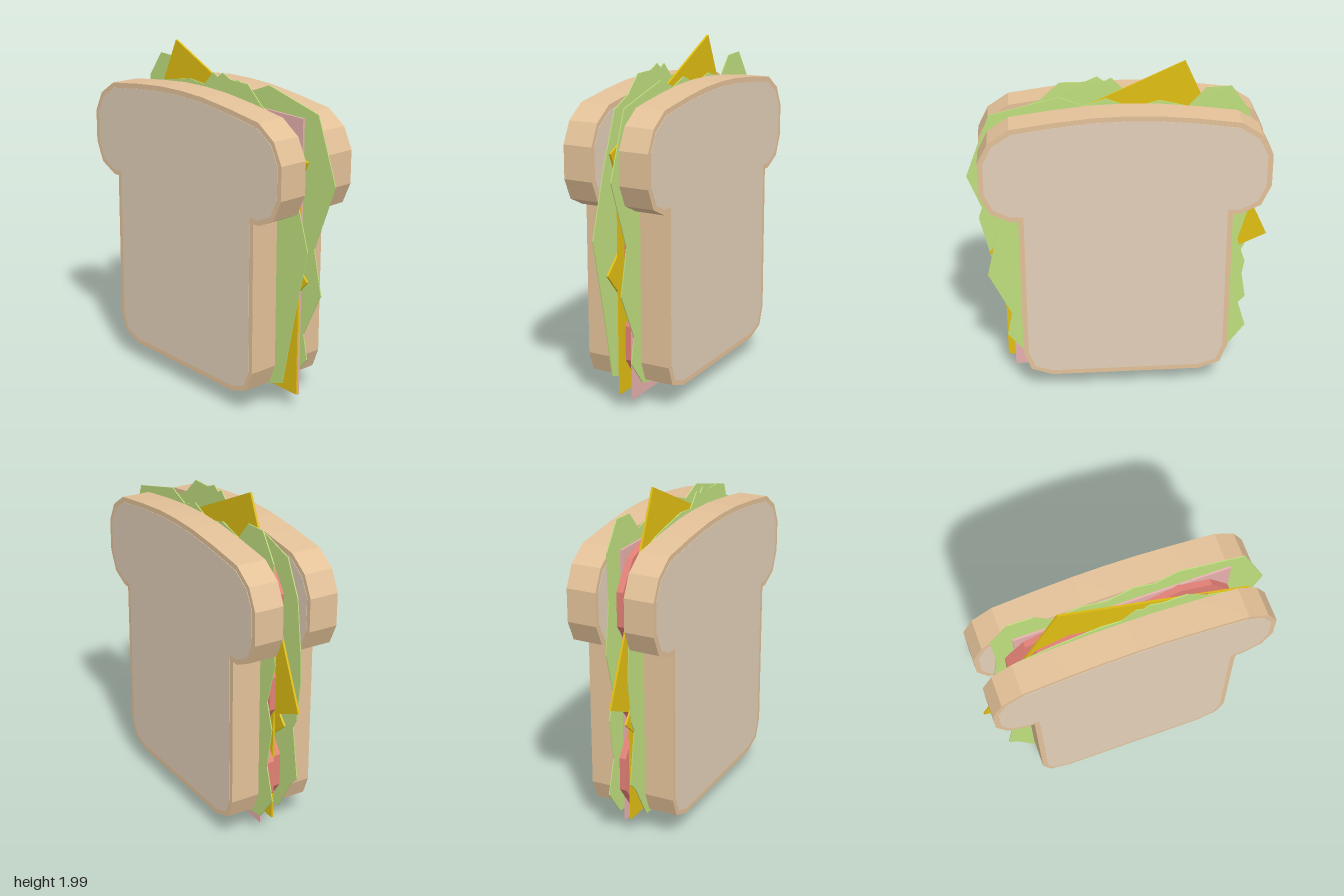
import * as THREE from 'three';

const mat = (color) => new THREE.MeshStandardMaterial({ color, flatShading: true });
const crust = mat(0xe3c198), crumb = mat(0xe2cfb8), salad = mat(0xc0df7e);
const cheese = mat(0xe0be12), ham = mat(0xe6b0ad), tomato = mat(0xe28075);

// Extruded slab centred on depth z
function slab(name, points, z, depth, material) {
  const shape = new THREE.Shape(points.map(([x, y]) => new THREE.Vector2(x, y)));
  const geo = new THREE.ExtrudeGeometry(shape, { depth, bevelEnabled: false });
  geo.translate(0, 0, z - depth / 2);
  const mesh = new THREE.Mesh(geo, material);
  mesh.name = name;
  return mesh;
}

// Toast outline, pulled inwards by d
function breadOutline(d) {
  const half = [
    [0.18, 1.785 - d], [0.4, 1.763 - d], [0.64 - d / 3, 1.73 - d], [0.76 - 0.7 * d, 1.65 - 0.7 * d],
    [0.82 - d, 1.53], [0.82 - d, 1.34], [0.765 - 0.7 * d, 1.22 + 0.7 * d],
    [0.65, 1.165 + d], [0.607 - d, 1.165 + d], [0.607 - d, 0.28],
    [0.563 - 0.8 * d, 0.165 + 0.6 * d], [0.44, 0.12 + d],
  ];
  const other = half.map(([x, y]) => [-x, y]).reverse();
  return [[0, 1.79 - d], ...half, ...other];
}

function breadSlice(name, z) {
  const slice = new THREE.Group();
  slice.name = name;
  slice.add(slab('crust', breadOutline(0), z, 0.175, crust));
  slice.add(slab('crumb', breadOutline(0.03), z, 0.179, crumb));
  return slice;
}

// Thin rectangular slice turned in its own plane
function sheet(name, w, h, x, y, z, turn, material) {
  const mesh = new THREE.Mesh(new THREE.BoxGeometry(w, h, 0.012), material);
  mesh.position.set(x, y, z);
  mesh.rotation.z = turn;
  mesh.name = name;
  return mesh;
}

export function createModel() {
  const model = new THREE.Group();
  model.name = 'sandwich';
  const body = new THREE.Group();
  body.name = 'sandwichBody';
  body.rotation.y = -0.5;
  model.add(body);

  // Bread
  body.add(breadSlice('frontBread', 0.172), breadSlice('backBread', -0.172));

  // Ragged lettuce leaves
  body.add(slab('frontLettuce', [
    [-0.62, 1.7], [-0.42, 1.76], [-0.14, 1.81], [-0.02, 1.8], [0.06, 1.88], [0.1, 1.86],
    [0.14, 1.89], [0.21, 1.86], [0.35, 1.86], [0.46, 1.76], [0.6, 1.7], [0.72, 1.4],
    [0.84, 1.02], [0.74, 0.58], [0.66, 0.19], [0.44, 0.11], [0.28, 0.05], [0.12, 0.12],
    [-0.1, 0.09], [-0.3, 0.12], [-0.58, 0.14], [-0.7, 0.35], [-0.76, 0.41], [-0.71, 0.72],
    [-0.74, 0.78], [-0.77, 1.03], [-0.76, 1.2], [-0.72, 1.5],
  ], 0.074, 0.006, salad));
  body.add(slab('backLettuce', [
    [-0.71, 1.72], [-0.6, 1.875], [-0.46, 1.87], [-0.36, 1.76], [-0.2, 1.8], [-0.05, 1.76],
    [0.1, 1.82], [0.22, 1.78], [0.36, 1.835], [0.75, 1.74], [0.89, 1.37], [0.74, 0.98],
    [0.8, 0.72], [0.67, 0.45], [0.7, 0.3], [0.58, 0.15], [0.38, 0.1], [0.185, 0.005], [0, 0.07],
    [-0.217, 0.015], [-0.42, 0.11], [-0.62, 0.14], [-0.74, 0.3], [-0.68, 0.5], [-0.72, 0.75],
    [-0.67, 0.9], [-0.74, 1.15], [-0.7, 1.45],
  ], -0.075, 0.006, salad));

  // Ham and cheese sheets
  body.add(sheet('ham', 1.25, 1.63, 0.033, 0.89, -0.055, 0, ham));
  body.add(sheet('straightCheese', 1.33, 1.36, 0.037, 0.79, 0, 0, cheese));
  body.add(sheet('tiltedCheese', 1.22, 1.22, -0.047, 1.19, 0.008, -0.428, cheese));
  body.add(sheet('diagonalCheese', 1.06, 1.06, 0.04, 0.78, 0.018, 0.838, cheese));

  // Tomato rounds on both sides of the cheese
  for (const [z, spread] of [[-0.032, 0.35], [0.042, 0.3]]) {
    for (const side of [-1, 1]) {
      for (const y of [0.4, 0.93, 1.39]) {
        const geo = new THREE.CylinderGeometry(0.32, 0.32, 0.04, 10);
        geo.rotateX(Math.PI / 2);
        const round = new THREE.Mesh(geo, tomato);
        round.position.set(side * spread, y, z);
        round.name = 'tomatoSlice';
        body.add(round);
      }
    }
  }
  return model;
}
